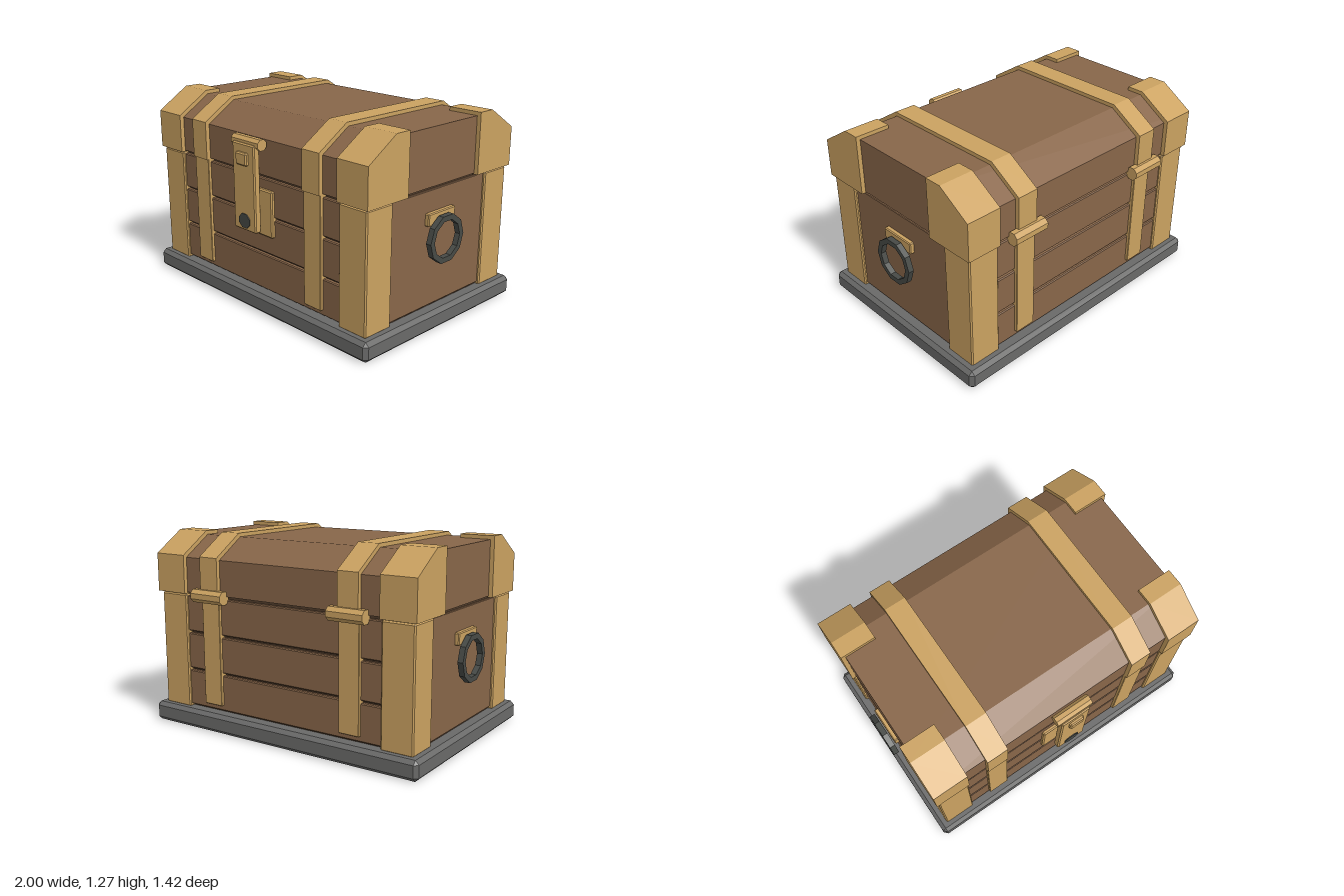
import * as THREE from 'three';
import { ConvexGeometry } from 'three/addons/geometries/ConvexGeometry.js';

const mat = (name, color) => {
  const m = new THREE.MeshStandardMaterial({ color });
  m.name = name;
  return m;
};

// Box between two limits per axis, with every edge chamfered by c
function chamferBox(x0, x1, y0, y1, z0, z1, c) {
  const lo = [x0, y0, z0], hi = [x1, y1, z1], pts = [];
  for (let k = 0; k < 8; k++) {
    for (let face = 0; face < 3; face++) {
      pts.push(new THREE.Vector3(...[0, 1, 2].map((a) => {
        const inset = a === face ? 0 : c;
        return (k >> a) & 1 ? hi[a] - inset : lo[a] + inset;
      })));
    }
  }
  return new ConvexGeometry(pts);
}

// Prism along x from a [z, y] profile
function prismX(profile, x0, x1) {
  const pts = [];
  for (const [z, y] of profile) {
    pts.push(new THREE.Vector3(x0, y, z), new THREE.Vector3(x1, y, z));
  }
  return new ConvexGeometry(pts);
}

// Flat-sided regular polygon as [a, b] pairs
const polygon = (n, r, a0, b0, turn = 0) => Array.from({ length: n }, (_, i) => {
  const t = turn + (i / n) * Math.PI * 2;
  return [a0 + r * Math.cos(t), b0 + r * Math.sin(t)];
});

export function createModel() {
  const root = new THREE.Group();
  root.name = 'chest';
  const wood = mat('wood', 0x886649);
  const darkWood = mat('dark wood', 0x4e3a29);
  const brass = mat('brass', 0xcba261);
  const stone = mat('grey base', 0x6a6a69);
  const iron = mat('dark iron', 0x474a46);

  const add = (name, geo, material) => {
    const m = new THREE.Mesh(geo, material);
    m.name = name;
    root.add(m);
    return m;
  };
  const box = (name, material, x0, x1, y0, y1, z0, z1, c = 0.008) =>
    add(name, chamferBox(x0, x1, y0, y1, z0, z1, c), material);

  // Base slab
  box('base', stone, -1, 1, 0, 0.125, -0.708, 0.668, 0.024);

  // Body: dark core seen in the gaps, front and back planks, side panels
  box('core', darkWood, -0.915, 0.915, 0.1, 0.9, -0.615, 0.575, 0.002);
  for (let i = 0; i < 3; i++) {
    const y = 0.137 + i * 0.248;
    box('plank', wood, -0.92, 0.92, y, y + 0.233, -0.64, 0.6, 0.006);
  }
  box('sidePanels', wood, -0.928, 0.928, 0.137, 0.868, -0.6, 0.56, 0.004);

  // Lid: faceted wooden top
  const lidWood = [[0.602, 0.887], [0.602, 1.112], [0.4, 1.242], [-0.442, 1.242], [-0.645, 1.112], [-0.645, 0.887]];
  add('lid', prismX(lidWood, -0.935, 0.935), wood);

  // Outer brass profile shared by straps and corner brackets
  const outer = [[0.63, 0.88], [0.63, 1.127], [0.412, 1.266], [-0.455, 1.266], [-0.672, 1.127], [-0.672, 0.88]];
  const frontCorner = [...outer.slice(0, 3), [0.3, 1.266], [0.3, 0.88]];
  const backCorner = [[-0.34, 0.88], [-0.34, 1.266], ...outer.slice(3)];

  for (const s of [-1, 1]) {
    const span = (a, b) => (s > 0 ? [a, b] : [-b, -a]);

    // Lid corner brackets and straps
    add('lidCornerFront', prismX(frontCorner, ...span(0.73, 0.962)), brass);
    add('lidCornerBack', prismX(backCorner, ...span(0.73, 0.962)), brass);
    add('lidStrap', prismX(outer, ...span(0.45, 0.592)), brass);

    // Body corner posts and straps
    box('postFront', brass, ...span(0.732, 0.945), 0.12, 0.873, 0.405, 0.616);
    box('postBack', brass, ...span(0.732, 0.945), 0.12, 0.873, -0.655, -0.442);
    box('bodyStrap', brass, ...span(0.45, 0.592), 0.172, 0.885, -0.66, 0.62, 0.003);

    // Rear hinge barrel
    add('hinge', prismX(polygon(8, 0.045, -0.67, 0.88, Math.PI / 8), ...span(0.397, 0.643)), brass);

    // Side handle: mounting plate and ten-sided ring
    box('handlePlate', brass, ...span(0.92, 0.956), 0.655, 0.733, -0.142, 0.104, 0.006);
    const ring = new THREE.Shape(polygon(10, 0.153, 0, 0).map((p) => new THREE.Vector2(...p)));
    ring.holes.push(new THREE.Path(polygon(10, 0.118, 0, 0).map((p) => new THREE.Vector2(...p))));
    const handle = add('handleRing', new THREE.ExtrudeGeometry(ring, { depth: 0.036, bevelEnabled: false }), iron);
    handle.rotation.y = Math.PI / 2;
    handle.position.set(s > 0 ? 0.964 : -1, 0.565, -0.02);
  }

  // Front latch: plate, hasp, hinge barrel, stud and lock
  box('latchPlate', brass, -0.172, 0.172, 0.505, 0.802, 0.58, 0.622);
  box('hasp', brass, -0.102, 0.102, 0.535, 1.085, 0.645, 0.692);
  box('haspStud', brass, -0.05, 0.05, 0.953, 1.032, 0.68, 0.713);
  add('haspHinge', prismX(polygon(8, 0.037, 0.645, 1.087, Math.PI / 8), -0.125, 0.125), brass);
  const lock = add('lock', new THREE.CylinderGeometry(0.054, 0.06, 0.075, 8), iron);
  lock.geometry = lock.geometry.toNonIndexed();
  lock.geometry.computeVertexNormals();
  lock.geometry.rotateY(Math.PI / 8);
  lock.geometry.rotateX(Math.PI / 2);
  lock.position.set(0, 0.598, 0.66);
  lock.scale.y = 0.9;

  return root;
}
